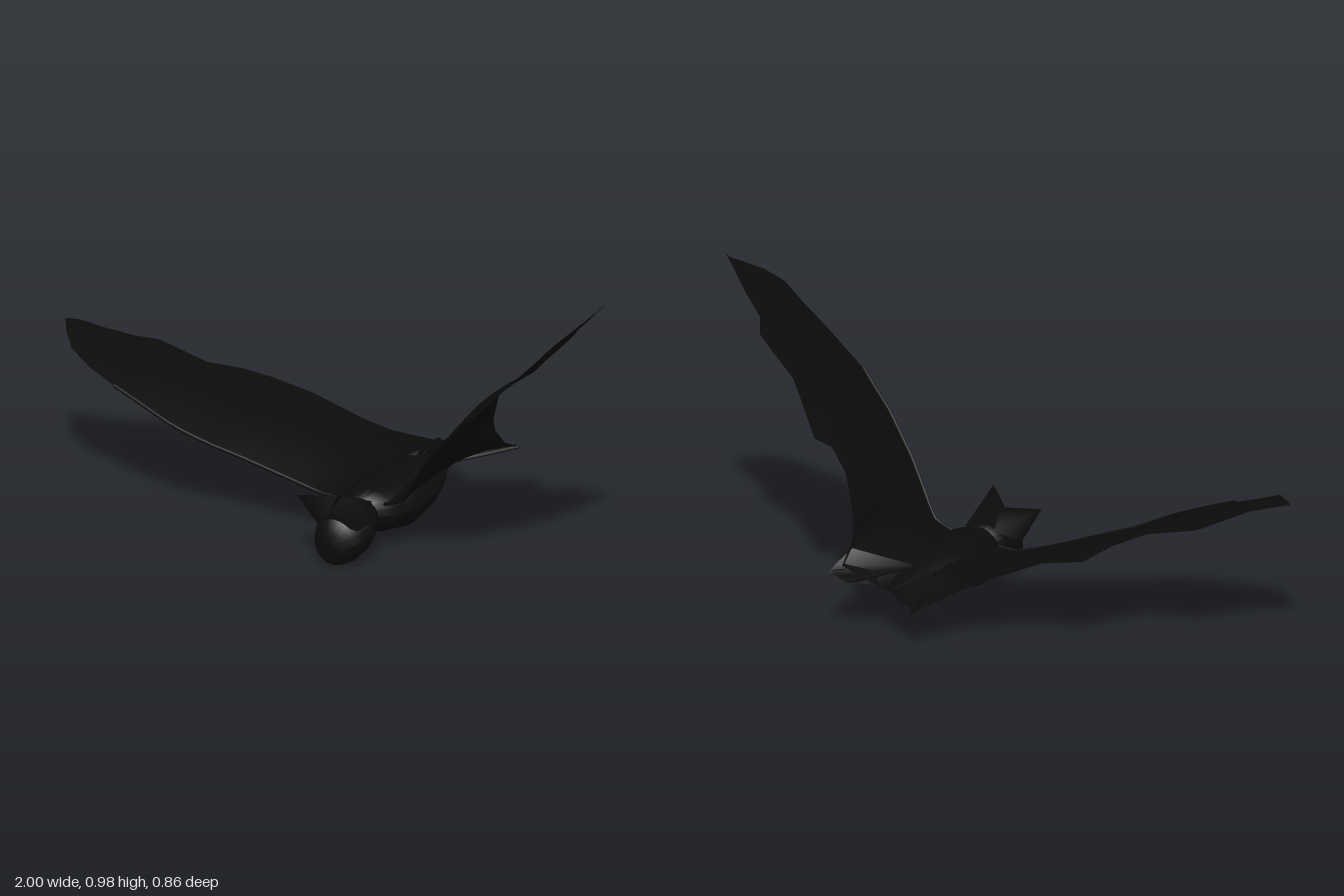
import * as THREE from 'three';

const black = new THREE.MeshStandardMaterial({ color: 0x0b0b0b, side: THREE.DoubleSide });
black.name = 'black';

function build(name, points, index) {
  const geo = new THREE.BufferGeometry();
  geo.setAttribute('position', new THREE.Float32BufferAttribute(points.flat(), 3));
  geo.setIndex(index);
  geo.computeVertexNormals();
  const mesh = new THREE.Mesh(geo, black);
  mesh.name = name;
  return mesh;
}

// Indices joining consecutive rows of points
function gridIndex(rows, cols) {
  const index = [];
  for (let i = 0; i < rows - 1; i++) {
    for (let j = 0; j < cols - 1; j++) {
      const a = i * cols + j, b = a + cols;
      index.push(a, b, a + 1, b, b + 1, a + 1);
    }
  }
  return index;
}

// Elliptical sections [z, centre x, centre y, radius x, radius y], front to back
function loft(name, sections, sides = 20) {
  const first = sections[0], last = sections[sections.length - 1];
  const all = [[...first.slice(0, 3), 0, 0], ...sections, [...last.slice(0, 3), 0, 0]];
  const points = [];
  for (const [z, cx, cy, rx, ry] of all) {
    for (let j = 0; j <= sides; j++) {
      const t = j / sides * Math.PI * 2;
      points.push([cx + rx * Math.cos(t), cy + ry * Math.sin(t), z]);
    }
  }
  return build(name, points, gridIndex(all.length, sides + 1));
}

// Membrane stretched between front and back edge points, arched upward
function wing(name, ribs, camber) {
  const steps = 10, points = [];
  ribs.forEach(([front, back], i) => {
    const arch = camber * (1 - i / (ribs.length - 1));
    for (let j = 0; j <= steps; j++) {
      const t = j / steps;
      const p = front.map((v, k) => v + (back[k] - v) * t);
      p[1] += arch * Math.sin(Math.PI * t);
      points.push(p);
    }
  });
  return build(name, points, gridIndex(ribs.length, steps + 1));
}

// Triangles from one centre point to a run of edge points
function fan(name, centre, edge, closed = false) {
  const index = [];
  const n = edge.length;
  for (let i = 0; i < (closed ? n : n - 1); i++) index.push(0, i + 1, (i + 1) % n + 1);
  return build(name, [centre, ...edge], index);
}

function bone(name, points, radius) {
  const curve = new THREE.CatmullRomCurve3(points.map(p => new THREE.Vector3(...p)));
  const mesh = new THREE.Mesh(new THREE.TubeGeometry(curve, 16, radius, 6), black);
  mesh.name = name;
  return mesh;
}

export function createModel() {
  const model = new THREE.Group();
  model.name = 'bat';

  // Torso and head
  model.add(loft('body', [
    [0.25, 0.15, 0.125, 0.055, 0.052], [0.2, 0.155, 0.122, 0.1, 0.072],
    [0.1, 0.16, 0.115, 0.125, 0.085], [0, 0.17, 0.13, 0.122, 0.075],
    [-0.08, 0.18, 0.15, 0.1, 0.057], [-0.13, 0.19, 0.162, 0.07, 0.025],
    [-0.32, 0.2, 0.152, 0.015, 0.012],
  ]));
  model.add(loft('head', [
    [0.417, 0.135, 0.065, 0.04, 0.045], [0.4, 0.135, 0.08, 0.068, 0.076],
    [0.37, 0.14, 0.088, 0.085, 0.086], [0.33, 0.147, 0.1, 0.09, 0.08],
    [0.28, 0.15, 0.116, 0.078, 0.066], [0.23, 0.15, 0.125, 0.054, 0.05],
  ]));

  // Pointed ears
  model.add(fan('rightEar', [0, 0.212, 0.39],
    [[0.1, 0.175, 0.25], [0.06, 0.09, 0.34], [0.09, 0.12, 0.395], [0.12, 0.215, 0.35]], true));
  model.add(fan('leftEar', [0.18, 0.255, 0.43],
    [[0.19, 0.175, 0.25], [0.1, 0.175, 0.32], [0.1, 0.15, 0.395], [0.215, 0.13, 0.395], [0.235, 0.14, 0.33]], true));

  // Wings, root to tip: [front edge, back edge]
  const rightRibs = [
    [[0.1, 0.15, 0.2], [0.12, 0.145, -0.33]],
    [[0, 0.14, 0.19], [-0.02, 0.175, -0.3]],
    [[-0.1, 0.165, 0.195], [-0.1, 0.21, -0.265]],
    [[-0.3, 0.23, 0.225], [-0.27, 0.28, -0.235]],
    [[-0.38, 0.255, 0.24], [-0.41, 0.305, -0.235]],
    [[-0.5, 0.305, 0.265], [-0.48, 0.345, -0.17]],
    [[-0.6, 0.345, 0.255], [-0.57, 0.375, -0.1]],
    [[-0.72, 0.39, 0.24], [-0.74, 0.415, -0.11]],
    [[-0.82, 0.425, 0.215], [-0.8, 0.435, -0.06]],
    [[-0.9, 0.46, 0.18], [-0.88, 0.465, -0.01]],
    [[-0.96, 0.475, 0.1], [-0.96, 0.485, 0.01]],
    [[-0.995, 0.488, 0.04], [-1, 0.49, 0.03]],
  ];
  const leftRibs = [
    [[0.22, 0.16, 0.22], [0.24, 0.15, -0.31]],
    [[0.29, 0.19, 0.23], [0.38, 0.2, -0.3]],
    [[0.34, 0.26, 0.26], [0.37, 0.27, -0.24]],
    [[0.4, 0.35, 0.3], [0.39, 0.33, -0.19]],
    [[0.45, 0.41, 0.33], [0.44, 0.44, -0.13]],
    [[0.51, 0.48, 0.365], [0.5, 0.51, -0.1]],
    [[0.56, 0.525, 0.39], [0.55, 0.54, -0.125]],
    [[0.62, 0.58, 0.425], [0.6, 0.575, -0.06]],
    [[0.68, 0.645, 0.415], [0.69, 0.665, 0.035]],
    [[0.75, 0.72, 0.405], [0.76, 0.735, 0.045]],
    [[0.8, 0.77, 0.395], [0.81, 0.79, 0.05]],
    [[0.87, 0.85, 0.38], [0.84, 0.82, 0.12]],
    [[0.92, 0.9, 0.33], [0.9, 0.88, 0.15]],
    [[0.985, 0.965, 0.22], [0.995, 0.98, 0.21]],
  ];
  model.add(wing('rightWing', rightRibs, 0.03));
  model.add(wing('leftWing', leftRibs, 0.035));

  // Arm bones along the leading edges
  model.add(bone('rightArm', rightRibs.slice(0, 8).map(r => r[0]), 0.006));
  model.add(bone('leftArm', leftRibs.slice(0, 8).map(r => r[0]), 0.006));

  // Tail membrane with the two feet at its corners
  model.add(fan('tailMembrane', [0.18, 0.18, -0.16], [
    [-0.02, 0.175, -0.3], [0.04, 0.145, -0.36], [0.075, 0.132, -0.385],
    [0.09, 0.12, -0.425], [0.11, 0.135, -0.39], [0.15, 0.14, -0.39],
    [0.18, 0.147, -0.35], [0.24, 0.15, -0.31], [0.32, 0.165, -0.33],
    [0.34, 0.17, -0.36], [0.38, 0.18, -0.34], [0.41, 0.185, -0.345],
    [0.4, 0.205, -0.3], [0.37, 0.24, -0.24],
  ]));
  model.add(bone('rightLeg', [[0.15, 0.16, -0.14], [0.1, 0.15, -0.28], [0.09, 0.128, -0.4]], 0.008));
  model.add(bone('leftLeg', [[0.23, 0.17, -0.14], [0.33, 0.18, -0.25], [0.4, 0.187, -0.335]], 0.008));

  return model;
}
